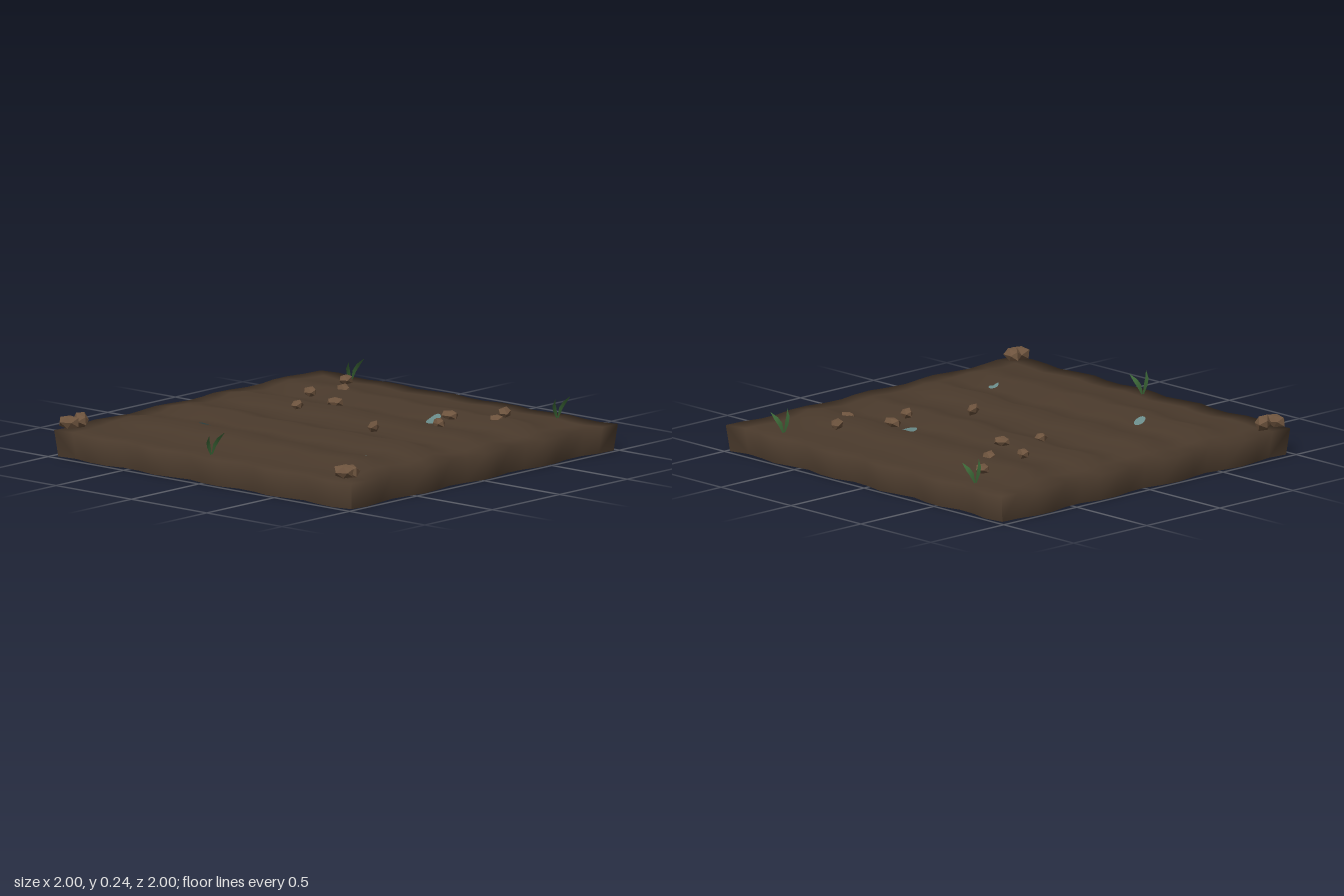
import * as THREE from 'three';

const N = 18; // ground cells per side
const paint = (color, extra = {}) => new THREE.MeshStandardMaterial({ color, roughness: 1, ...extra });

// Ground height: rounded furrows along z that fade out towards the rim
function height(x, z) {
  const fade = (1 - THREE.MathUtils.smoothstep(Math.abs(x), 0.62, 0.88))
    * (1 - THREE.MathUtils.smoothstep(Math.abs(z), 0.72, 0.98));
  const wave = (1 + Math.cos((2 * Math.PI * (Math.abs(x + 0.03 * z) - 0.2)) / 0.38)) / 2;
  const ripple = 0.004 * Math.sin(7 * x + 5 * z) * (1 - Math.max(Math.abs(x), Math.abs(z)) ** 4);
  return 0.134 + 0.047 * wave ** 1.4 * fade + ripple;
}

// Plane whose outermost ring is folded down into the side walls; open below
function ground() {
  const geo = new THREE.PlaneGeometry(2, 2, N + 2, N + 2).rotateX(-Math.PI / 2);
  const p = geo.attributes.position;
  for (let k = 0; k < p.count; k++) {
    const i = k % (N + 3) - 1, j = Math.floor(k / (N + 3)) - 1;
    const x = -0.982 + 1.964 * THREE.MathUtils.clamp(i, 0, N) / N;
    const z = -0.982 + 1.964 * THREE.MathUtils.clamp(j, 0, N) / N;
    const wall = i < 0 || j < 0 || i > N || j > N;
    const wx = x + 0.017 * Math.cos((2 * Math.PI * (z - 0.65)) / 0.385);
    const wz = z - 0.017 * Math.cos((2 * Math.PI * (x + 0.2)) / 0.457);
    if (wall) p.setXYZ(k, wx * 0.983, 0, wz * 0.987);
    else p.setXYZ(k, wx, height(x, z), wz);
  }
  geo.computeVertexNormals();
  return geo;
}

// Faceted stone: icosahedron with its corners pushed in and out by a rule
function stone(seed) {
  const geo = new THREE.IcosahedronGeometry(1, 0);
  const p = geo.attributes.position, v = new THREE.Vector3();
  for (let k = 0; k < p.count; k++) {
    v.fromBufferAttribute(p, k);
    v.multiplyScalar(1 + 0.16 * Math.sin(5 * v.x + 7 * v.y + 3 * v.z + seed * 2.3));
    p.setXYZ(k, v.x, v.y, v.z);
  }
  geo.computeVertexNormals();
  return geo;
}

// Water patch: ellipse laid on the ground
function puddle(cx, cz, a, b, turn) {
  const geo = new THREE.CircleGeometry(1, 14).rotateX(-Math.PI / 2).scale(a, 1, b).rotateY(turn);
  const p = geo.attributes.position;
  for (let k = 0; k < p.count; k++) {
    const x = cx + p.getX(k), z = cz + p.getZ(k);
    p.setXYZ(k, x, height(x, z) + 0.007, z);
  }
  geo.computeVertexNormals();
  return geo;
}

// Leaf blade leaning sideways and curling forwards
function blade(side) {
  const geo = new THREE.BufferGeometry();
  const rows = [[0.004, 0, 0, 0.004], [0.022, 0.045, 0.002, 0.012], [0.04, 0.075, 0.012, 0.011], [0.056, 0.105, 0.035, 0.001]];
  const pos = [], index = [];
  rows.forEach(([x, y, z, w], r) => {
    pos.push(side * (x - w), y + w * 0.5, z, side * (x + w), y - w * 0.5, z);
    if (r) index.push(2 * r - 2, 2 * r - 1, 2 * r, 2 * r - 1, 2 * r + 1, 2 * r);
  });
  if (side < 0) index.reverse();
  geo.setAttribute('position', new THREE.Float32BufferAttribute(pos, 3));
  geo.setIndex(index);
  geo.computeVertexNormals();
  return geo;
}

export function createModel() {
  const model = new THREE.Group();
  model.name = 'soilTile';
  const add = (name, geo, mat, parent = model) => {
    const mesh = new THREE.Mesh(geo, mat);
    mesh.name = name;
    parent.add(mesh);
    return mesh;
  };

  add('ground', ground(), paint(0x4a3a2c, { side: THREE.DoubleSide }));

  // Stones: x, z, half width, half depth, turn
  const stoneMat = paint(0x6e543e, { flatShading: true });
  [
    [0.42, -0.53, 0.028, 0.037, 0.1], [0.77, -0.61, 0.048, 0.034, 0.5],
    [0.58, -0.455, 0.033, 0.046, 0.2], [0.14, -0.365, 0.033, 0.028, 0],
    [0.325, -0.285, 0.032, 0.044, 0.5], [0, 0.265, 0.04, 0.028, 0],
    [0.46, 0.36, 0.033, 0.046, 0], [0.285, 0.44, 0.03, 0.039, 0],
    [0.685, 0.525, 0.042, 0.036, 0.5], [0.54, 0.595, 0.026, 0.036, 0.3],
  ].forEach(([x, z, a, b, turn], k) => {
    const s = add('stone', stone(k), stoneMat);
    s.position.set(x, 0.172, z);
    s.scale.set(a, 0.028, b);
    s.rotation.y = turn;
  });

  // Larger stones in the two right-hand corners
  [[-0.925, -0.93, 0.036, 0.055], [-0.85, -0.92, 0.044, 0.054],
    [-0.93, 0.905, 0.036, 0.056], [-0.885, 0.905, 0.04, 0.05]].forEach(([x, z, a, b], k) => {
    const s = add('cornerStone', stone(k + 20), stoneMat);
    s.position.set(x, 0.174, z);
    s.scale.set(a, 0.04, b);
    s.rotation.y = k % 2 ? -0.2 : 0.3;
  });

  // Puddles
  const waterMat = paint(0x6a8c8a, { side: THREE.DoubleSide });
  [[-0.47, -0.435, 0.04, 0.028, 0.5], [0.425, 0.28, 0.07, 0.032, 0.4], [-0.465, 0.605, 0.036, 0.022, 0.35]]
    .forEach((d) => add('puddle', puddle(...d), waterMat));

  // Grass tufts, two mirrored blades each
  const grassMat = paint(0x41703c, { side: THREE.DoubleSide });
  [[0.893, -0.685], [-0.912, 0.005], [0.893, 0.685]].forEach(([x, z]) => {
    const tuft = new THREE.Group();
    tuft.name = 'grassTuft';
    tuft.position.set(x, 0.136, z);
    [1, -1].forEach((side) => add('grassBlade', blade(side), grassMat, tuft));
    model.add(tuft);
  });
  return model;
}
